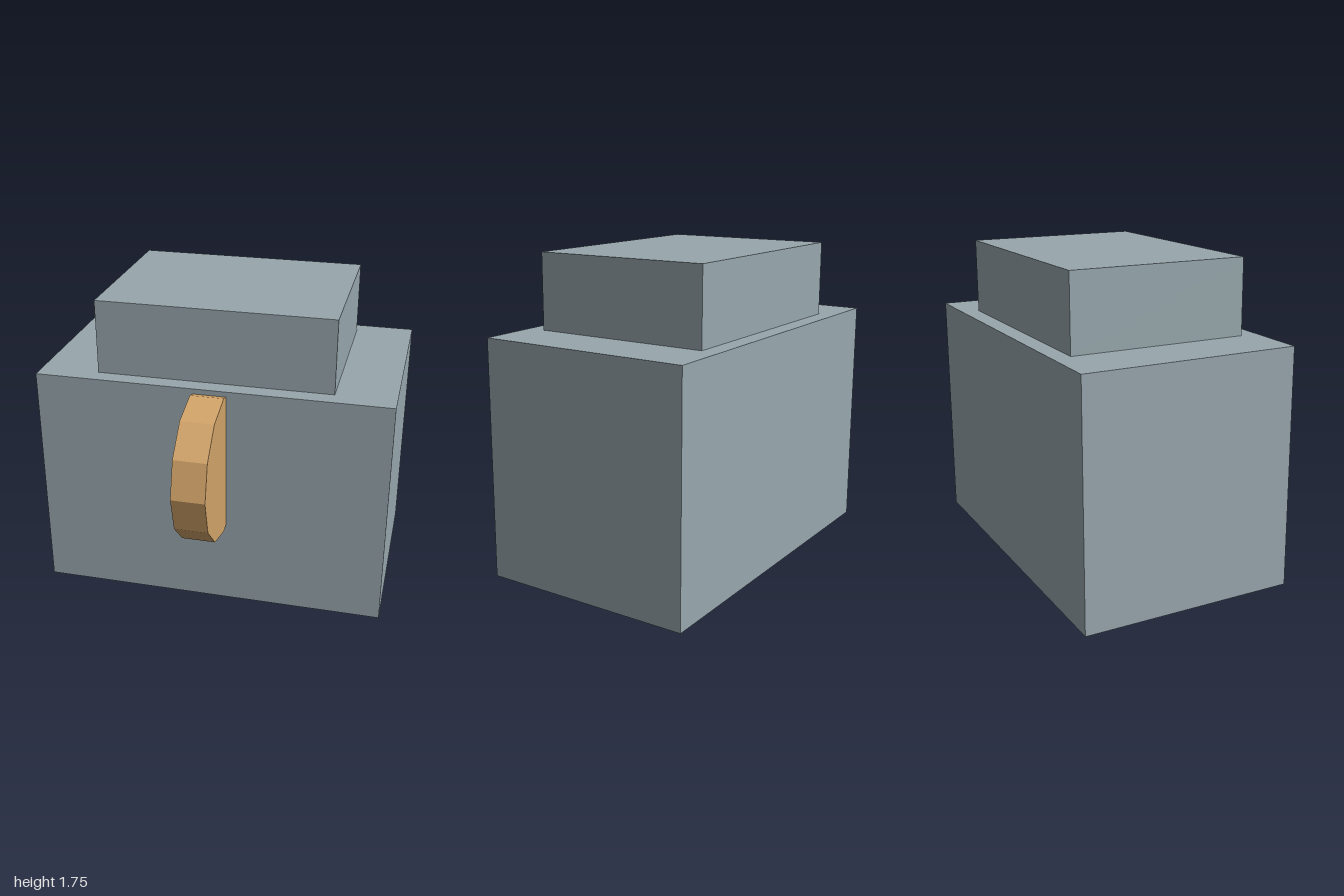
import * as THREE from 'three';

export function createModel() {
  const model = new THREE.Group();
  model.name = 'model';

  const grey = new THREE.MeshStandardMaterial({ color: 0x98a7ad });
  grey.name = 'blue grey';
  const tan = new THREE.MeshStandardMaterial({ color: 0xd4a56a, flatShading: true });
  tan.name = 'tan';

  const add = (name, geometry, material, x, y, z) => {
    const mesh = new THREE.Mesh(geometry, material);
    mesh.name = name;
    mesh.position.set(x, y, z);
    model.add(mesh);
    return mesh;
  };

  // Main block and the smaller block on top
  add('body', new THREE.BoxGeometry(2, 1.333, 1.2), grey, 0, 0.6665, -0.233);
  add('topBlock', new THREE.BoxGeometry(1.333, 0.422, 1), grey, 0, 1.544, -0.233);

  // Twelve-sided wheel half sunk into the front
  const wheel = add('wheel', new THREE.CylinderGeometry(0.415, 0.415, 0.187, 12), tan, 0, 0.902, 0.418);
  wheel.rotation.z = Math.PI / 2;

  return model;
}
